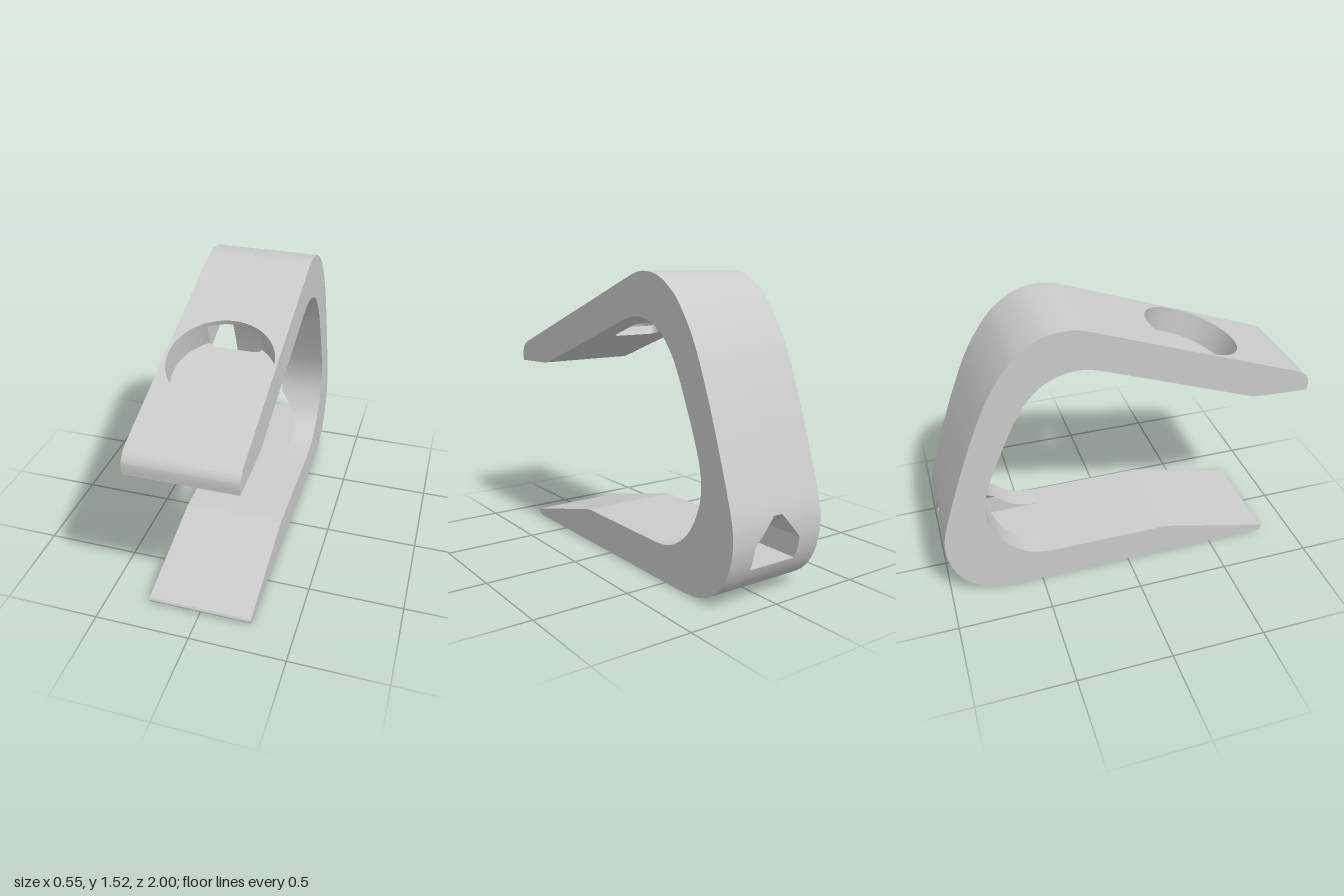
import * as THREE from 'three';
import { toCreasedNormals } from 'three/addons/utils/BufferGeometryUtils.js';

const W = 0.273;                       // half width of the band
const SLOT = 0.14, GROOVE = 0.025;     // half widths of cable openings
const FLOOR = 0.187, APEX = 0.43;      // heights of the rear cable exit
const R = 0.26, DEPTH = 0.14, CEIL = 0.025, T = 0.187, GROOVE_DEPTH = 0.07;

const material = new THREE.MeshStandardMaterial({ color: 0xcccccc, side: THREE.DoubleSide });

// Section points are [z, y]; arm(u, n) runs u along the sloping arm and n down into it
const ANGLE = 0.352, C = [0.425, 1.2655];
const arm = (u, n) => [
  C[0] - u * Math.cos(ANGLE) - n * Math.sin(ANGLE),
  C[1] + u * Math.sin(ANGLE) - n * Math.cos(ANGLE),
];
const at = (x, p) => new THREE.Vector3(x, p[1], p[0]);

function spline(points, steps = 8) {
  const curve = new THREE.SplineCurve(points.map((p) => new THREE.Vector2(...p)));
  return curve.getPoints((points.length - 1) * steps).map((p) => [p.x, p.y]);
}

// Collects triangles on the +x half and mirrors each one to -x
class HalfMesh {
  constructor(name) { this.name = name; this.data = []; }
  tri(a, b, c) {
    const area = b.clone().sub(a).cross(c.clone().sub(a)).length();
    if (area < 1e-9) return;
    for (const p of [a, b, c]) this.data.push(p.x, p.y, p.z);
    for (const p of [a, c, b]) this.data.push(-p.x, p.y, p.z);
  }
  strip(A, B) {
    for (let i = 0; i + 1 < A.length; i++) {
      this.tri(A[i], B[i], B[i + 1]);
      this.tri(A[i], B[i + 1], A[i + 1]);
    }
    return this;
  }
  build() {
    const g = new THREE.BufferGeometry();
    g.setAttribute('position', new THREE.Float32BufferAttribute(this.data, 3));
    const mesh = new THREE.Mesh(toCreasedNormals(g, 0.21), material);
    mesh.name = this.name;
    return mesh;
  }
}

// [position, half width] pairs of a rounded rectangle
function roundedSlot(s0, s1, half, r, endHalf = 0) {
  const out = [[s0, 0]];
  for (let i = 0; i <= 10; i++) {
    const a = (i / 10) * Math.PI / 2;
    out.push([s0 + r * (1 - Math.cos(a)), half - r + r * Math.sin(a)]);
  }
  for (let i = 0; i <= 10; i++) {
    const a = (i / 10) * Math.PI / 2;
    out.push([s1 - r * (1 - Math.sin(a)), half - r + r * Math.cos(a)]);
  }
  out.push([s1, endHalf]);
  return out;
}

// [u, half width] pairs along the round recess
function arc(a0, a1, n) {
  return Array.from({ length: n + 1 }, (_, i) => {
    const a = a0 + (a1 - a0) * i / n;
    return [-R * Math.cos(a), R * Math.sin(a)];
  });
}
const circle = (u) => Math.sqrt(Math.max(0, R * R - u * u));

// Half width of the house-shaped rear exit at height y
const exitWidth = (y) => y <= 0.3 ? SLOT : SLOT + (GROOVE - SLOT) * Math.min(1, (y - 0.3) / (APEX - 0.3));

export function createModel() {
  const group = new THREE.Group();
  group.name = 'chargingStand';
  const add = (half) => group.add(half.build());
  const plain = (pts, h = 0) => pts.map((p) => ({ p, h }));

  // Openings in the arm and base
  const U0 = 0.2, U1 = 0.44, CR = 0.04;
  const slot = roundedSlot(U0, U1, SLOT, CR, GROOVE);
  const recess = roundedSlot(-0.56, 0.11, SLOT, 0.07);

  // Outer section, from the arm tip over the back to the base tip
  const tip = spline([[1, 0.955], [1, 1.015], [0.975, 1.055], arm(-0.538, 0)]);
  const backTop = spline([arm(0.66, 0), [-0.26, 1.512], [-0.33, 1.517], [-0.42, 1.502], [-0.51, 1.455],
    [-0.6, 1.375], [-0.71, 1.21], [-0.81, 0.98], [-0.9, 0.73], [-0.965, 0.53], [-0.992, APEX],
    [-0.999, 0.36], [-0.994, 0.28], [-0.967, FLOOR], [-0.915, 0.105], [-0.84, 0.045], [-0.75, 0.012], [-0.64, 0]]);
  const exitOuter = backTop.slice(10 * 8, 13 * 8 + 1);
  const outer = [
    ...plain(tip),
    ...arc(0, Math.PI, 48).map(([u, h]) => ({ p: arm(u, 0), h })),
    ...plain(backTop.slice(0, 10 * 8 + 1)),
    ...exitOuter.map((p) => ({ p, h: exitWidth(p[1]) })),
    ...plain(backTop.slice(13 * 8)),
    ...recess.map(([z, h]) => ({ p: [z, 0], h })),
    ...plain(spline([[0.8, 0], [0.825, 0.008], [0.833, 0.022], [0.826, 0.036]], 4)),
  ];

  // Inner section, in the same direction
  const bend = spline([arm(0.46, T), [-0.15, 1.277], [-0.24, 1.297], [-0.34, 1.288], [-0.43, 1.25],
    [-0.5, 1.19], [-0.57, 1.095], [-0.65, 0.93], [-0.72, 0.765], [-0.762, 0.64], [-0.773, 0.53],
    [-0.75, APEX], [-0.69, 0.32], [-0.6, 0.238], [-0.51, 0.198], [-0.42, FLOOR]]);
  const exitInner = bend.slice(11 * 8);
  const inner = [
    ...plain([[1, 0.955], [0.74, 0.966]]),
    ...plain(spline([[0.74, 0.966], [0.71, 0.969], arm(-0.34, T)], 4)),
    ...slot.map(([u, h]) => ({ p: arm(u, T), h })),
    ...plain(bend.slice(0, 11 * 8 + 1), GROOVE),
    ...exitInner.map((p) => ({ p, h: exitWidth(p[1]) })),
    ...plain([[-0.42, FLOOR], [0.2, FLOOR]]),
    ...plain(spline([[0.2, FLOOR], [0.225, 0.186], [0.25, 0.181]], 3)),
    ...plain([[0.826, 0.036]]),
  ];
  const edge = (pts) => pts.map(({ p, h }) => at(h, p));
  const rim = (pts) => pts.map(({ p }) => at(W, p));
  add(new HalfMesh('outerSurface').strip(edge(outer), rim(outer)));
  add(new HalfMesh('innerSurface').strip(rim(inner), edge(inner)));

  // Flat side faces
  const outline = [];
  for (const { p } of [...outer, ...inner.slice().reverse()]) {
    const q = new THREE.Vector2(...p);
    if (!outline.some((o) => o.distanceTo(q) < 1e-5)) outline.push(q);
  }
  const sides = new HalfMesh('sideFaces');
  for (const f of THREE.ShapeUtils.triangulateShape(outline, [])) {
    const [a, b, c] = f.map((i) => outline[i]);
    const ccw = (b.x - a.x) * (c.y - a.y) - (b.y - a.y) * (c.x - a.x) > 0;
    const [A, B, D] = (ccw ? [a, c, b] : [a, b, c]).map((q) => at(W, [q.x, q.y]));
    sides.tri(A, B, D);
  }
  add(sides);

  // Round recess on the arm, open at its rear into the cable slot
  const line = (pts, n) => pts.map(([u, h]) => at(h, arm(u, n)));
  const k = slot.findIndex(([u, h]) => h > circle(u));
  const aX = Math.acos(-slot[k][0] / R);
  const front = arc(0, aX, 40), rear = arc(aX, Math.PI, 12);
  const floorFront = arc(0, Math.acos(-U0 / R), 40), floorRear = slot.slice(1, k + 1);
  add(new HalfMesh('roundRecess')
    .strip(line(front, DEPTH), line(front, 0))
    .strip(line(rear, CEIL), line(rear, 0))
    .strip(line(floorFront.map(([u]) => [u, 0]), DEPTH), line(floorFront, DEPTH))
    .strip(line(floorRear, DEPTH), line(floorRear.map(([u]) => [u, circle(u)]), DEPTH)));

  // Cable slot through the arm
  const slotWidth = (u) => {
    const d = Math.max(0, U0 + CR - u, u - U1 + CR);
    return SLOT - CR + Math.sqrt(Math.max(0, CR * CR - d * d));
  };
  const roofU = [...rear.map(([u]) => u), ...slot.map(([u]) => u).filter((u) => u > R)];
  const low = slot.slice(0, k + 1), tall = slot.slice(k), mid = [[U1, GROOVE], [U1, 0]];
  add(new HalfMesh('cableSlot')
    .strip(line(low, T), line(low, DEPTH))
    .strip(line(tall, T), line(tall, CEIL))
    .strip(line(mid, T - GROOVE_DEPTH), line(mid, CEIL))
    .strip(line(roofU.map((u) => [u, slotWidth(u)]), CEIL), line(roofU.map((u) => [u, circle(u)]), CEIL)));

  // Narrow cable groove down the inside of the back
  const path = [arm(U1, T), ...bend.slice(0, 11 * 8 + 1)];
  const deep = path.map((p, i) => {
    const a = path[Math.max(0, i - 1)], b = path[Math.min(path.length - 1, i + 1)];
    const dz = b[0] - a[0], dy = b[1] - a[1], s = GROOVE_DEPTH / Math.hypot(dz, dy);
    return [p[0] + dy * s, Math.max(APEX, p[1] - dz * s)];
  });
  const row = (pts, x) => pts.map((p) => at(x, p));
  add(new HalfMesh('cableGroove')
    .strip(row(path, GROOVE), row(deep, GROOVE))
    .strip(row(deep, GROOVE), row(deep, 0)));

  // House-shaped cable exit through the back
  const outerZ = (y) => {
    const i = Math.max(1, exitOuter.findIndex((p) => p[1] <= y + 1e-6));
    const [a, b] = [exitOuter[i - 1], exitOuter[i]];
    return a[0] + (b[0] - a[0]) * (a[1] - y) / (a[1] - b[1]);
  };
  const top = [deep[deep.length - 1], exitOuter[0]];
  const bottom = [[-0.42, FLOOR], [outerZ(FLOOR), FLOOR]];
  add(new HalfMesh('cableExit')
    .strip(exitInner.map((p) => at(exitWidth(p[1]), p)),
      exitInner.map((p) => at(exitWidth(p[1]), [outerZ(p[1]), p[1]])))
    .strip(row(top, GROOVE), row(top, 0))
    .strip(row(bottom, 0), row(bottom, SLOT)));

  // Rounded recess under the base
  const level = (y, s = 1) => recess.map(([z, h]) => at(h * s, [z, y]));
  add(new HalfMesh('baseRecess')
    .strip(level(0.12), level(0))
    .strip(level(0.12, 0), level(0.12)));

  return group;
}
